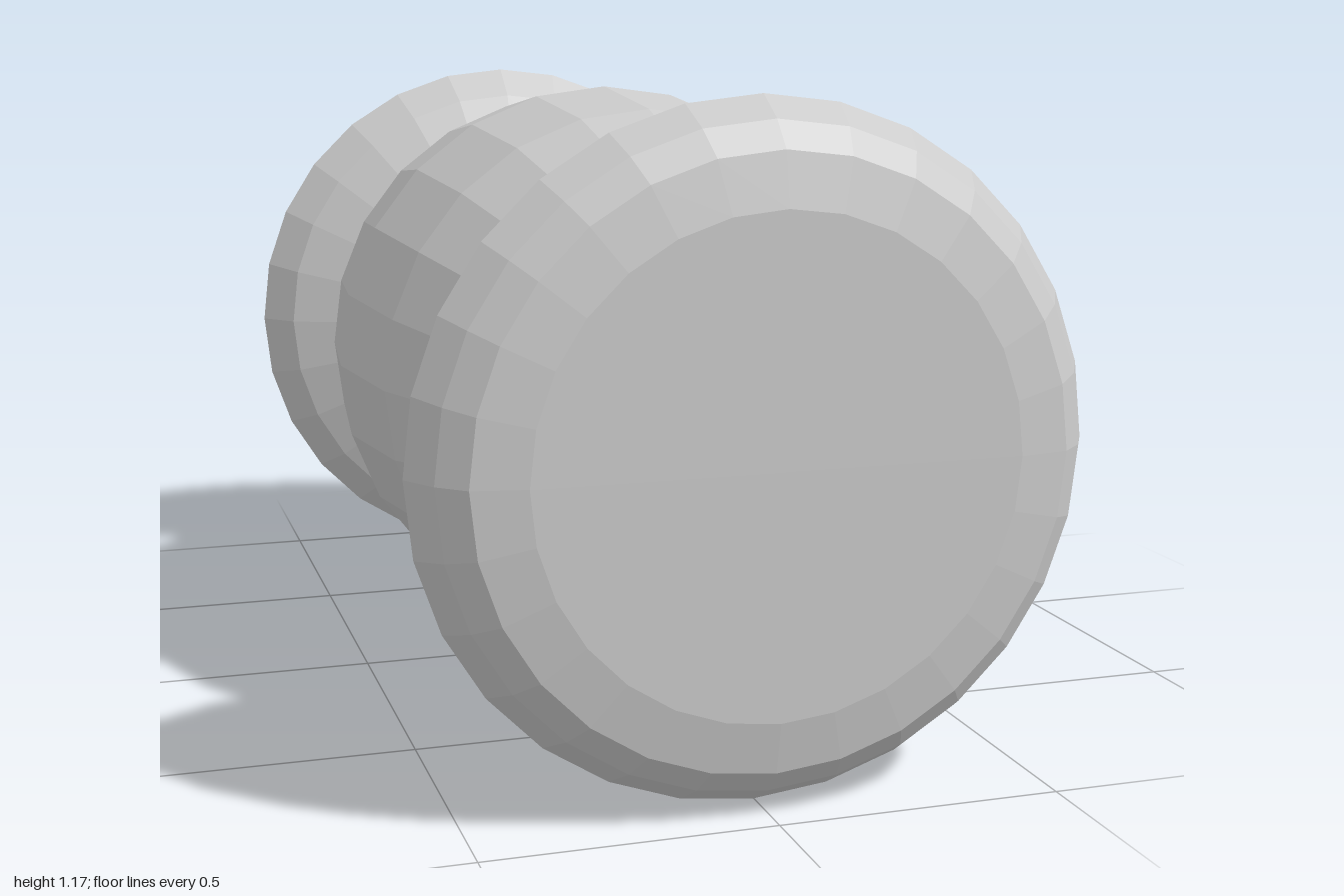
import * as THREE from 'three';

const material = new THREE.MeshStandardMaterial({ color: 0xcccccc, flatShading: true });

// Solid of revolution lying along z; profile is [radius, z] from back to front
function turned(name, profile, sides, y) {
  const points = profile.map(([r, z]) => new THREE.Vector2(r, z));
  const geometry = new THREE.LatheGeometry(points, sides);
  geometry.rotateX(Math.PI / 2);
  const mesh = new THREE.Mesh(geometry, material);
  mesh.name = name;
  mesh.position.y = y;
  return mesh;
}

export function createModel() {
  const model = new THREE.Group();
  model.name = 'barrelRoller';

  // Bulging barrel with flat ends
  const half = [[0, 0.67], [0.25, 0.67], [0.345, 0.61], [0.435, 0.5], [0.507, 0.295]];
  const barrel = [
    ...half.map(([r, z]) => [r, -z]),
    [0.54, 0],
    ...half.slice().reverse(),
  ];
  model.add(turned('barrel', barrel, 24, 0.617));

  // Thin axle through the barrel
  const axle = new THREE.Mesh(new THREE.CylinderGeometry(0.032, 0.032, 1.6, 12), material);
  axle.name = 'axle';
  axle.rotation.x = Math.PI / 2;
  axle.position.y = 0.597;
  model.add(axle);

  // Rounded discs, inner face to outer face
  const disc = [
    [0, 0.767], [0.415, 0.767], [0.525, 0.812], [0.585, 0.882],
    [0.548, 0.942], [0.503, 0.983], [0.413, 1], [0, 1],
  ];
  model.add(turned('frontWheel', disc, 28, 0.587));
  const backDisc = disc.map(([r, z]) => [r, -z]).reverse();
  model.add(turned('backWheel', backDisc, 28, 0.587));

  return model;
}
